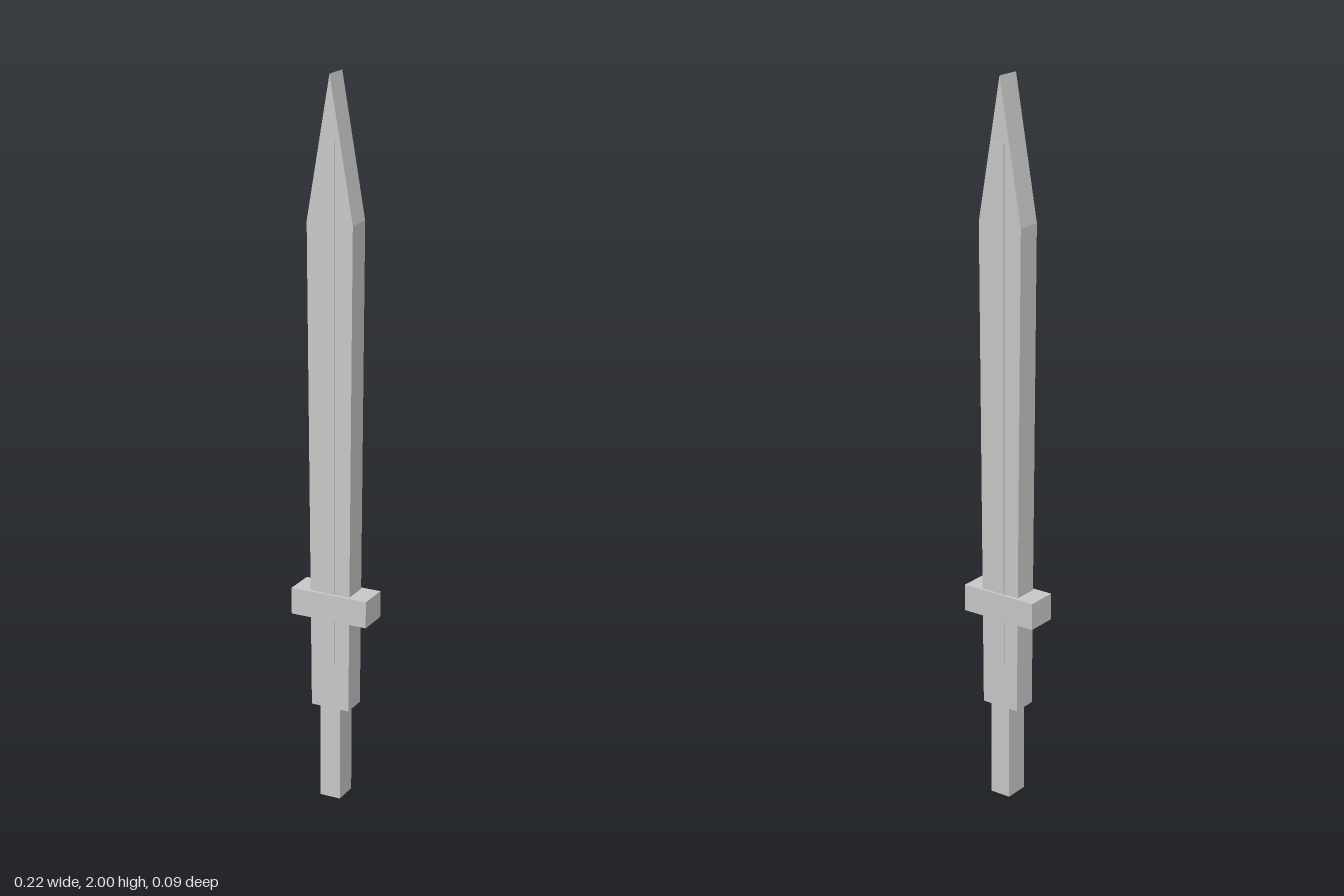
import * as THREE from 'three';

export function createModel() {
  const group = new THREE.Group();
  const material = new THREE.MeshStandardMaterial({ color: 0xcccccc, flatShading: true });

  const add = (name, geometry, x, y, z) => {
    const mesh = new THREE.Mesh(geometry, material);
    mesh.name = name;
    mesh.position.set(x, y, z);
    group.add(mesh);
  };
  // Box spanning y0..y1
  const addBox = (name, width, y0, y1, depth, z = 0) =>
    add(name, new THREE.BoxGeometry(width, y1 - y0, depth), 0, (y0 + y1) / 2, z);

  // Blade: slightly widening flat slab with a wedge point
  const outline = new THREE.Shape([
    [-0.056, 0.27], [0.056, 0.27], [0.066, 1.62], [0, 2], [-0.066, 1.62],
  ].map(([x, y]) => new THREE.Vector2(x, y)));
  const bladeDepth = 0.07;
  add('blade', new THREE.ExtrudeGeometry(outline, { depth: bladeDepth, bevelEnabled: false }),
    0, 0, -bladeDepth / 2 - 0.001);

  // Raised strip along the middle of both faces
  addBox('centralRidge', 0.03, 0.4, 1.83, 0.077, -0.0015);

  // Crossguard and grip
  addBox('crossguard', 0.224, 0.53, 0.605, 0.088, -0.001);
  addBox('grip', 0.06, 0, 0.27, 0.07, -0.001);

  return group;
}
